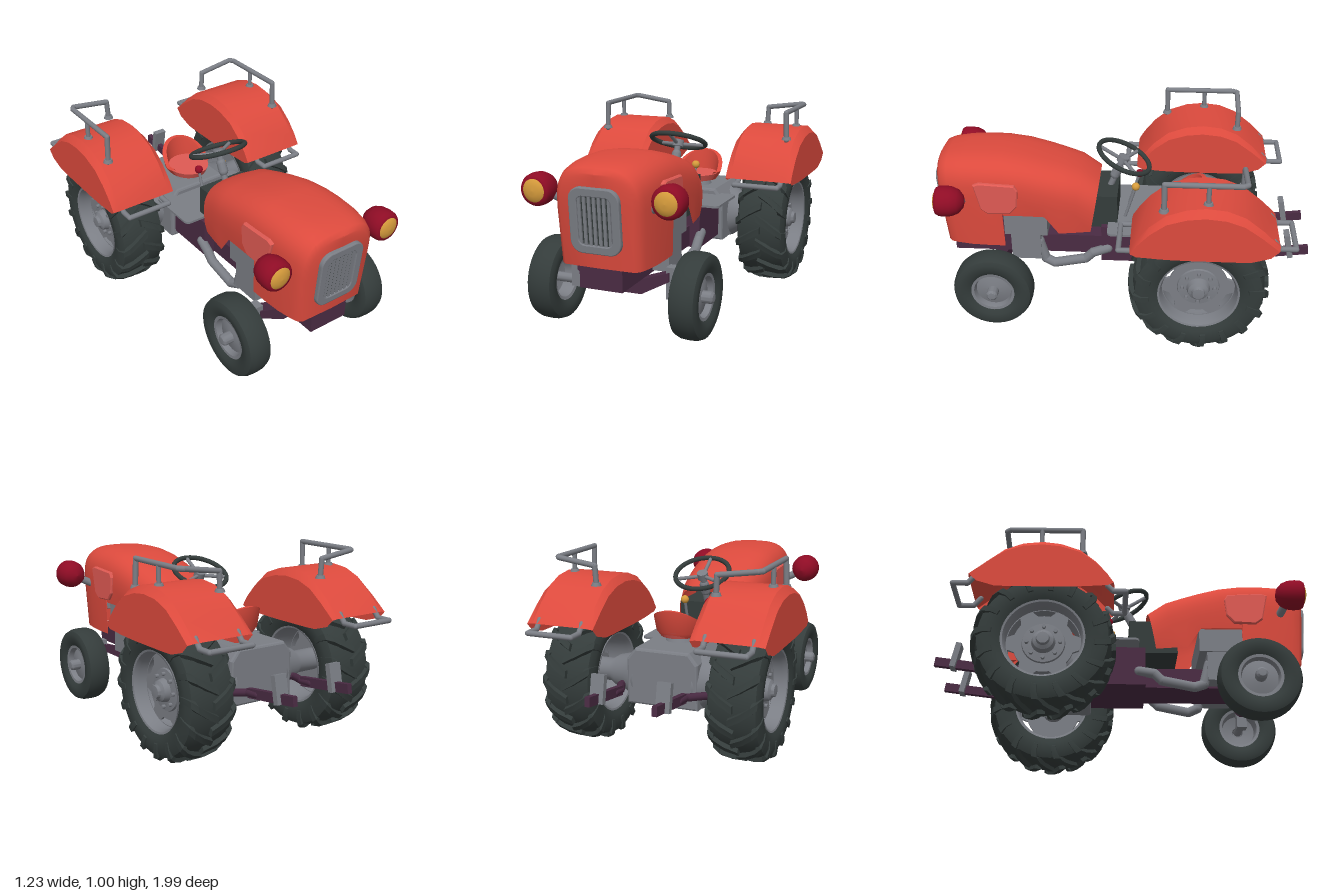
import * as THREE from 'three';
import { mergeGeometries, toCreasedNormals } from 'three/addons/utils/BufferGeometryUtils.js';

const mat = (name, color) => new THREE.MeshStandardMaterial({ name, color, side: THREE.DoubleSide });
const M = {
  red: mat('bodyRed', 0xdc4a3d), light: mat('panelRed', 0xdf5a53), tyre: mat('rubber', 0x343c3b),
  grey: mat('steel', 0x7b7e85), plum: mat('chassisPlum', 0x4a2b43), dark: mat('lampRed', 0x8f0c25),
  amber: mat('amber', 0xd79c3c),
};
const V = (x, y, z) => new THREE.Vector3(x, y, z);

function add(parent, name, geo, material, x = 0, y = 0, z = 0) {
  const m = new THREE.Mesh(geo, material);
  m.name = name;
  m.position.set(x, y, z);
  parent.add(m);
  return m;
}
const box = (p, name, m, w, h, d, x, y, z) => add(p, name, new THREE.BoxGeometry(w, h, d), m, x, y, z);

// Skin through rows of points; closed joins each row's ends
function loft(rows, closed = false, crease = 0.6) {
  const n = rows[0].length, pos = [], idx = [];
  rows.forEach(r => r.forEach(p => pos.push(...p)));
  for (let i = 0; i < rows.length - 1; i++)
    for (let j = 0; j < (closed ? n : n - 1); j++) {
      const a = i * n + j, b = i * n + (j + 1) % n;
      idx.push(a, b, a + n, b, b + n, a + n);
    }
  const g = new THREE.BufferGeometry();
  g.setAttribute('position', new THREE.Float32BufferAttribute(pos, 3));
  g.setIndex(idx);
  return toCreasedNormals(g, crease);
}

// Lathe turned so that its axis runs along x; points are [radius, offset]
function latheX(pts, seg = 48) {
  const g = new THREE.LatheGeometry(pts.map(p => new THREE.Vector2(...p)), seg);
  return toCreasedNormals(g.rotateZ(-Math.PI / 2), 0.6);
}

// Bent round bar with ball joints
function rod(p, name, m, r, pts) {
  const parts = [];
  pts.forEach((c, i) => {
    const a = V(...c);
    parts.push(new THREE.SphereGeometry(r, 10, 8).translate(a.x, a.y, a.z));
    if (!i) return;
    const b = V(...pts[i - 1]), d = a.clone().sub(b);
    const g = new THREE.CylinderGeometry(r, r, d.length(), 10);
    g.applyQuaternion(new THREE.Quaternion().setFromUnitVectors(V(0, 1, 0), d.normalize()));
    const c2 = a.add(b).multiplyScalar(0.5);
    parts.push(g.translate(c2.x, c2.y, c2.z));
  });
  return add(p, name, mergeGeometries(parts), m);
}

function roundRect(w, h, r, S = THREE.Shape) {
  const s = new S();
  s.moveTo(w - r, -h);
  s.absarc(w - r, r - h, r, -Math.PI / 2, 0);
  s.absarc(w - r, h - r, r, 0, Math.PI / 2);
  s.absarc(r - w, h - r, r, Math.PI / 2, Math.PI);
  s.absarc(r - w, r - h, r, Math.PI, Math.PI * 1.5);
  s.closePath();
  return s;
}

function buildHood(g) {
  // z, half width, top, bottom, lean
  const rows = [
    [.15, .2, .735, .48, -.17], [.25, .217, .8, .48, -.12], [.33, .228, .828, .48, -.06],
    [.41, .235, .855, .585, 0], [.52, .239, .883, .59, 0], [.63, .24, .898, .59, .02],
    [.631, .24, .898, .4, .02], [.72, .24, .9, .4, .04], [.82, .234, .896, .4, .06],
    [.9, .22, .886, .4, .08], [.94, .207, .872, .4, .08], [.957, .185, .85, .4, .08], [.962, 0, .845, .4, .08],
  ].map(([z, w, top, bot, k]) => {
    const ys = Math.max(top - .2, bot + .03), pts = [[-w * .96, bot]];
    for (let i = 0; i <= 20; i++) {
      const t = Math.PI * (1 - i / 20), c = Math.cos(t), s = Math.max(0, Math.sin(t));
      pts.push([w * Math.sign(c) * Math.abs(c) ** .65, ys + (top - ys) * s ** .65]);
    }
    pts.push([w * .96, bot]);
    return pts.map(([x, y]) => [x, y, z + k * (y - .6)]);
  });
  add(g, 'hood', loft(rows, false, 0.7), M.red);
  box(g, 'cowl', M.tyre, .28, .19, .26, 0, .575, .16);

  // Radiator grille
  const grille = new THREE.Group();
  grille.name = 'grille';
  grille.position.set(0, .63, .963);
  grille.rotation.x = .08;
  const frame = roundRect(.123, .152, .055);
  frame.holes.push(roundRect(.09, .12, .035, THREE.Path));
  add(grille, 'grilleFrame', new THREE.ExtrudeGeometry(frame, { depth: .014, bevelSize: .005, bevelThickness: .007, bevelSegments: 2 }), M.grey);
  box(grille, 'grilleBack', M.tyre, .19, .25, .004, 0, 0, .006);
  for (let i = -3; i <= 3; i++) box(grille, 'grilleBar', M.grey, .014, .236, .01, i * .025, 0, .012);
  g.add(grille);
}

function buildChassis(g) {
  box(g, 'chassisBeam', M.plum, .22, .11, .84, 0, .345, .51);
  box(g, 'gearbox', M.plum, .34, .215, .29, 0, .39, -.03);
  box(g, 'engineBlock', M.grey, .42, .13, .23, 0, .525, .515);
  box(g, 'engineSump', M.grey, .4, .16, .16, 0, .38, .52);
  add(g, 'footPlate', new THREE.ExtrudeGeometry(roundRect(.26, .15, .03), { depth: .012, bevelEnabled: false })
    .rotateX(Math.PI / 2), M.grey, 0, .512, -.07);
  const t = new THREE.Shape([[-.18, -.12], [.18, -.12], [.18, .1], [.14, .15], [-.14, .15], [-.18, .1]]
    .map(p => new THREE.Vector2(...p)));
  add(g, 'transmission', new THREE.ExtrudeGeometry(t, { depth: .34, bevelSize: .012, bevelThickness: .015, bevelSegments: 2 }), M.grey, 0, .38, -.53);
  const beam = new THREE.Shape([[-.245, .29], [-.1, .21], [.1, .21], [.245, .29], [.245, .335], [.1, .285], [-.1, .285], [-.245, .335]]
    .map(p => new THREE.Vector2(...p)));
  add(g, 'frontAxleBeam', new THREE.ExtrudeGeometry(beam, { depth: .07, bevelEnabled: false }), M.plum, 0, 0, .64);
}

function buildCockpit(g) {
  // Seat: wrap-round shell with a lighter cushion
  const rows = [];
  for (let i = 0; i <= 24; i++) {
    const a = -.35 + (Math.PI + .7) * i / 24, h = .6 + .1 * Math.max(0, Math.sin(a)) ** .8 + .02;
    const P = (r, y) => [Math.cos(a) * r, y, -.305 - Math.sin(a) * r];
    rows.push([P(.1, .57), P(.122, .6), P(.135, h), P(.112, h), P(.1, .6)]);
  }
  add(g, 'seatShell', loft(rows, true), M.red);
  add(g, 'seatCushion', new THREE.CylinderGeometry(.115, .1, .035, 32).scale(1, 1, 1.12), M.light, 0, .59, -.3);
  add(g, 'seatPost', new THREE.CylinderGeometry(.06, .09, .08, 20), M.grey, 0, .545, -.3);

  // Steering
  const wheel = new THREE.Group();
  wheel.name = 'steeringWheel';
  wheel.position.set(0, .838, 0);
  wheel.rotation.x = -.43;
  add(wheel, 'steeringRim', new THREE.TorusGeometry(.147, .013, 10, 40).rotateX(Math.PI / 2), M.tyre);
  for (let i = 0; i < 3; i++) {
    const a = Math.PI / 2 + i * Math.PI * 2 / 3;
    rod(wheel, 'steeringSpoke', M.grey, .01, [[0, -.02, 0], [Math.cos(a) * .145, 0, Math.sin(a) * .145]]);
  }
  add(wheel, 'steeringHub', new THREE.CylinderGeometry(.03, .03, .035, 20), M.grey, 0, -.015, 0);
  g.add(wheel);
  rod(g, 'steeringColumn', M.grey, .017, [[0, .82, .01], [0, .6, .1]]);
  rod(g, 'columnSleeve', M.grey, .026, [[0, .77, .03], [0, .73, .05]]);

  // Levers
  [[-.07, -.08, M.dark], [.075, -.065, M.amber]].forEach(([x, z, m]) => {
    rod(g, 'lever', M.grey, .008, [[x, .5, z + .06], [x, .7, z]]);
    add(g, 'leverKnob', new THREE.SphereGeometry(.022, 16, 12), m, x, .7, z);
  });
}

function rearWheel() {
  const w = new THREE.Group();
  w.name = 'rearWheel';
  add(w, 'rearTyre', latheX([[.2, -.105], [.235, -.128], [.29, -.132], [.322, -.118], [.335, -.07], [.338, 0],
    [.335, .07], [.322, .118], [.29, .132], [.235, .128], [.2, .105]]), M.tyre);
  // Chevron lugs, staggered left and right
  const lugs = [], N = 16;
  for (let i = 0; i < N * 2; i++) {
    const s = i % 2 ? 1 : -1, base = i * Math.PI / N;
    const rows = [[-.012, .36, 0], [.05, .36, -.1], [.1, .352, -.2], [.13, .333, -.27], [.139, .29, -.31], [.134, .255, -.32]]
      .map(([x, r, t], k) => [[r, -.05], [r, .05], [r - .04, .07], [r - .04, -.07]].map(([q, d]) => {
        const a = base + t + d, inner = q < r && k > 2 ? .03 : 0;
        return [s * (x - inner), (q + (inner ? .02 : 0)) * Math.sin(a), (q + (inner ? .02 : 0)) * Math.cos(a)];
      }));
    rows.unshift(rows[0].map(() => rows[0][0]));
    rows.push(rows[rows.length - 1].map(() => rows[rows.length - 1][0]));
    lugs.push(loft(rows, true, .4));
  }
  add(w, 'tyreLugs', mergeGeometries(lugs), M.tyre);
  add(w, 'rearRim', latheX([[.2, -.108], [.208, -.118], [.198, -.115], [.188, -.09], [.185, 0], [.188, .09], [.198, .115], [.208, .118], [.2, .108]]), M.grey);
  // Disc with openings round its edge
  const disc = new THREE.Shape();
  disc.absarc(0, 0, .19, 0, Math.PI * 2);
  for (let i = 0; i < 6; i++) {
    const a = i * Math.PI / 3 + .52, h = new THREE.Path();
    h.absarc(0, 0, .182, a - .33, a + .33);
    h.absarc(0, 0, .152, a + .2, a - .2, true);
    h.closePath();
    disc.holes.push(h);
  }
  add(w, 'rearDisc', new THREE.ExtrudeGeometry(disc, { depth: .015, bevelEnabled: false, curveSegments: 32 }).rotateY(Math.PI / 2), M.grey, .03);
  add(w, 'rearHub', latheX([[.11, .04], [.105, .055], [.06, .06], [.052, .09], [.035, .1], [.03, .115], [0, .118]], 32), M.grey);
  for (let i = 0; i < 8; i++) {
    const a = i * Math.PI / 4;
    add(w, 'wheelBolt', new THREE.CylinderGeometry(.01, .01, .02, 6).rotateZ(Math.PI / 2), M.grey, .065, .083 * Math.sin(a), .083 * Math.cos(a));
  }
  w.position.set(.437, .362, -.405);
  return w;
}

// Everything that is mirrored, made for +x
function buildSide(g) {
  g.add(rearWheel());
  add(g, 'axleHousing', latheX([[.15, .16], [.14, .19], [.1, .24], [.085, .3], [.06, .34], [.06, .47]], 32), M.grey, 0, .37, -.4);

  // Fender: tip z, tip y, base z, base y
  const arc = [[-.057, .64, -.09, .622], [-.09, .7, -.13, .62], [-.15, .775, -.19, .615], [-.23, .842, -.25, .612], [-.33, .878, -.34, .61],
    [-.42, .889, -.42, .61], [-.52, .878, -.5, .61], [-.61, .842, -.58, .61], [-.7, .77, -.65, .612], [-.785, .685, -.74, .64]];
  add(g, 'fender', loft(arc.map(([z, y, bz, by]) => {
    const mz = z + (bz - z) * .13, my = y + (by - y) * .13;
    return [[.25, by, bz], [.25, my, mz], [.28, y, z], [.58, y, z], [.614, my, mz], [.614, by, bz]];
  }), false, .45), M.red);
  rod(g, 'fenderTopRail', M.grey, .014, [[.315, .87, -.61], [.32, .96, -.612], [.52, .988, -.612], [.535, .988, -.59], [.535, .988, -.22], [.54, .84, -.22]]);
  rod(g, 'railPost', M.grey, .012, [[.537, .985, -.43], [.537, .87, -.43]]);
  [[.315, .868, -.61], [.54, .85, -.22], [.537, .89, -.43]].forEach(p =>
    add(g, 'railFoot', new THREE.CylinderGeometry(.02, .026, .016, 16), M.grey, ...p));
  rod(g, 'fenderFrontBar', M.grey, .014, [[.32, .65, -.09], [.32, .62, -.06], [.32, .62, 0], [.555, .62, 0], [.555, .62, -.06], [.555, .65, -.09]]);
  rod(g, 'fenderRearBar', M.grey, .014, [[.32, .7, -.755], [.32, .658, -.79], [.32, .658, -.865], [.555, .658, -.865], [.555, .658, -.79], [.555, .7, -.755]]);

  // Front wheel and steering knuckle
  add(g, 'frontTyre', latheX([[.115, -.05], [.14, -.066], [.18, -.069], [.2, -.06], [.21, -.035], [.212, 0], [.21, .035], [.2, .06],
    [.18, .069], [.14, .066], [.115, .05]]), M.tyre, .372, .23, .675);
  add(g, 'frontRim', latheX([[.115, -.05], [.1, -.045], [.092, .02], [.1, .05], [.115, .052]]), M.grey, .372, .23, .675);
  add(g, 'frontDisc', latheX([[.095, .02], [.06, .03], [.03, .035], [.03, .08], [.02, .09], [0, .092]], 32), M.grey, .372, .23, .675);
  rod(g, 'frontStub', M.grey, .024, [[.26, .23, .675], [.4, .23, .675]]);
  box(g, 'kingpin', M.grey, .055, .16, .055, .256, .28, .675);

  // Hood side panel, following the hood flank
  const panel = new THREE.Shape([[.765, .775], [.74, .785], [.56, .775], [.545, .75], [.553, .66], [.59, .618], [.7, .613], [.735, .64]]
    .map(([z, y]) => new THREE.Vector2(-z, y)));
  add(g, 'sidePanel', new THREE.ExtrudeGeometry(panel, { depth: .04, bevelSize: .006, bevelThickness: .006, bevelSegments: 1 })
    .rotateY(Math.PI / 2), M.light, .205);
  rod(g, 'exhaustPipe', M.grey, .026, [[.17, .4, .45], [.17, .285, .42], [.18, .265, .37], [.18, .3, .2], [.18, .34, .16], [.165, .36, .08]]);

  // Headlamp
  rod(g, 'lampStalk', M.grey, .022, [[.2, .665, .83], [.3, .715, .865]]);
  const turn = (pts) => new THREE.LatheGeometry(pts.map(p => new THREE.Vector2(...p)), 32).rotateX(Math.PI / 2);
  add(g, 'lampShell', turn([[0, -.078], [.035, -.07], [.062, -.047], [.076, -.015], [.08, .02], [.078, .05], [.07, .066], [.056, .07]]), M.dark, .333, .735, .875);
  add(g, 'lampLens', turn([[.057, .068], [.045, .077], [.025, .083], [0, .085]]), M.amber, .333, .735, .875);

  // Rear linkage arm
  rod(g, 'linkageRoot', M.plum, .02, [[.24, .33, -.48], [.235, .335, -.53], [.173, .355, -.65], [.17, .36, -.72]]);
  const arm = box(g, 'linkageArm', M.plum, .026, .048, .34, .17, .377, -.825);
  arm.rotation.x = .13;
  const bracket = box(g, 'linkageBracket', M.grey, .07, .14, .03, .17, .43, -.885);
  bracket.rotation.x = .2;
}

export function createModel() {
  const g = new THREE.Group();
  g.name = 'tractor';
  buildHood(g);
  buildChassis(g);
  buildCockpit(g);
  for (const s of [1, -1]) {
    const side = new THREE.Group();
    side.name = s > 0 ? 'leftSide' : 'rightSide';
    buildSide(side);
    side.scale.x = s;
    g.add(side);
  }
  return g;
}
